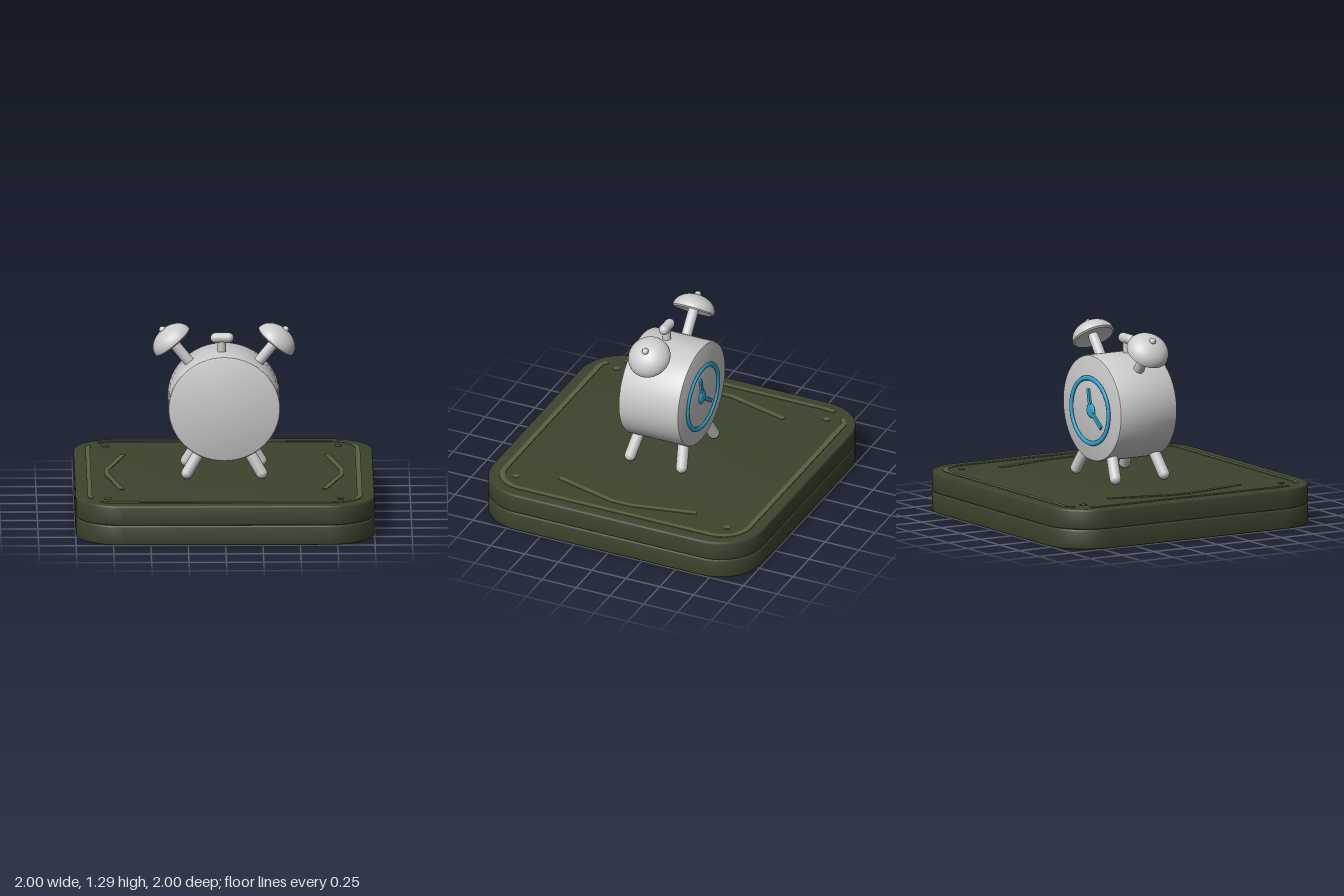
import * as THREE from 'three';
import { toCreasedNormals } from 'three/addons/utils/BufferGeometryUtils.js';

const paint = (color) => new THREE.MeshStandardMaterial({ color });
const grey = paint(0xcccccc);
const olive = paint(0x3c442d);
const moss = paint(0x56623f);
const blue = paint(0x33a6d2);
const V3 = (x, y, z) => new THREE.Vector3(x, y, z);
const UP = V3(0, 1, 0);

function add(parent, name, geometry, material, x = 0, y = 0, z = 0) {
  const mesh = new THREE.Mesh(geometry, material);
  mesh.name = name;
  mesh.position.set(x, y, z);
  parent.add(mesh);
  return mesh;
}

// Lathe from [radius, height] pairs, creases kept sharp
function lathe(profile, segments = 40) {
  const pts = profile.map(([r, h]) => new THREE.Vector2(r, h));
  return toCreasedNormals(new THREE.LatheGeometry(pts, segments), 0.7);
}

// Round-ended rod between two points
function rod(parent, name, a, b, radius) {
  const length = a.distanceTo(b);
  const mesh = add(parent, name, new THREE.CapsuleGeometry(radius, length, 5, 18), grey);
  mesh.position.copy(a).add(b).multiplyScalar(0.5);
  mesh.quaternion.setFromUnitVectors(UP, b.clone().sub(a).normalize());
  return mesh;
}

// Rounded square centred on the origin
function roundedSquare(half, r) {
  const s = new THREE.Shape();
  const c = half - r;
  s.absarc(c, c, r, 0, Math.PI / 2);
  s.absarc(-c, c, r, Math.PI / 2, Math.PI);
  s.absarc(-c, -c, r, Math.PI, Math.PI * 1.5);
  s.absarc(c, -c, r, Math.PI * 1.5, Math.PI * 2);
  s.closePath();
  return s;
}

// Flat raised strip following [x, z] points
function strip(parent, name, points, width) {
  const pts = points.map(([x, z]) => new THREE.Vector2(x, -z));
  const left = [], right = [];
  pts.forEach((p, i) => {
    const before = pts[Math.max(i - 1, 0)], after = pts[Math.min(i + 1, pts.length - 1)];
    const t = after.clone().sub(before).normalize();
    const n = new THREE.Vector2(-t.y, t.x).multiplyScalar(width / 2);
    left.push(p.clone().add(n));
    right.unshift(p.clone().sub(n));
  });
  const geometry = new THREE.ExtrudeGeometry(new THREE.Shape([...left, ...right]), { depth: 0.01, bevelEnabled: false });
  geometry.rotateX(-Math.PI / 2);
  add(parent, name, geometry, moss, 0, 0.265, 0);
}

// Points on a quarter bend in [x, z]
function bend(cx, cz, r, from) {
  return [0, 1, 2, 3, 4, 5, 6].map((i) => {
    const a = from + (i / 6) * Math.PI / 2;
    return [cx + r * Math.cos(a), cz + r * Math.sin(a)];
  });
}

function makePlatform() {
  const platform = new THREE.Group();
  platform.name = 'platform';

  // Two stacked slabs, leaving a fine seam halfway up
  const bevel = 0.012;
  for (const [name, y] of [['lowerSlab', 0], ['upperSlab', 0.135]]) {
    let slab = new THREE.ExtrudeGeometry(roundedSquare(1 - bevel, 0.3), {
      depth: 0.135 - 2 * bevel, bevelThickness: bevel, bevelSize: bevel, bevelSegments: 3, curveSegments: 6,
    });
    slab.rotateX(-Math.PI / 2);
    slab = toCreasedNormals(slab, 0.7);
    add(platform, name, slab, olive, 0, y + bevel, 0);
  }

  // Border lines
  strip(platform, 'borderLine', [
    [-0.83, -0.87], [-0.78, -0.905],
    ...bend(0.71, -0.715, 0.19, -Math.PI / 2),
    ...bend(0.71, 0.71, 0.19, 0),
    [-0.78, 0.9], [-0.83, 0.87],
  ], 0.035);
  strip(platform, 'sideBorderLine', [[-0.895, -0.78], [-0.905, -0.7], [-0.905, 0.7], [-0.895, 0.77]], 0.03);

  // Angled accent lines
  strip(platform, 'rightAccent', [[-0.67, -0.51], [-0.785, -0.07], [-0.785, 0.06], [-0.69, 0.515]], 0.035);
  strip(platform, 'leftAccent', [[0.69, -0.51], [0.785, -0.07], [0.785, 0.08], [0.665, 0.515]], 0.035);

  // Corner studs
  for (const [x, z] of [[-0.785, -0.77], [0.77, -0.77], [-0.785, 0.78], [0.77, 0.79]])
    add(platform, 'stud', new THREE.CylinderGeometry(0.024, 0.024, 0.01, 16), moss, x, 0.27, z);
  return platform;
}

function makeBell(side) {
  const bell = new THREE.Group();
  bell.name = side > 0 ? 'leftBell' : 'rightBell';
  const axis = V3(side * 0.63, 0.777, 0).normalize();
  const centre = V3(side * 0.342, 1.165, 0.003);
  rod(bell, 'bellStem', centre.clone().addScaledVector(axis, -0.2), centre, 0.036);

  // Dome with a shallow hollow underside, and a small knob
  const profile = [[0, 0.02], [0.1, 0.01], [0.135, -0.006], [0.146, 0.004]];
  for (let i = 1; i <= 10; i++) {
    const a = (i / 10) * Math.PI / 2;
    profile.push([i === 10 ? 0 : 0.146 * Math.cos(a), 0.004 + 0.106 * Math.sin(a)]);
  }
  const cap = new THREE.Group();
  cap.name = 'bellCap';
  cap.position.copy(centre);
  cap.quaternion.setFromUnitVectors(UP, axis);
  add(cap, 'dome', lathe(profile), grey);
  add(cap, 'knob', new THREE.SphereGeometry(0.023, 16, 10), grey, 0, 0.11, 0);
  bell.add(cap);
  return bell;
}

function makeDial() {
  const dial = new THREE.Group();
  dial.name = 'dial';
  dial.position.set(0.005, 0.737, -0.226);

  // Flattened ring and domed hub
  const ring = add(dial, 'dialRing', new THREE.TorusGeometry(0.225, 0.017, 10, 56), blue, 0, 0, -0.007);
  ring.scale.set(1.06, 0.98, 0.6);
  const hub = add(dial, 'hub', new THREE.SphereGeometry(0.05, 24, 12), blue);
  hub.scale.z = 0.28;

  // Hands run from the hub to their tips
  for (const [name, x, y] of [['longHand', 0.03, 0.145], ['shortHand', -0.135, -0.1]]) {
    const hand = add(dial, name, new THREE.BoxGeometry(0.028, Math.hypot(x, y), 0.014), blue, x / 2, y / 2, -0.002);
    hand.rotation.z = Math.atan2(-x, y);
  }
  return dial;
}

export function createModel() {
  const model = new THREE.Group();
  model.name = 'alarmClockOnPlatform';
  model.add(makePlatform());

  const clock = new THREE.Group();
  clock.name = 'alarmClock';
  model.add(clock);

  // Drum with softened rims
  const drum = lathe([
    [0, -0.222], [0.36, -0.222], [0.37, -0.218], [0.375, -0.208],
    [0.375, 0.208], [0.37, 0.218], [0.36, 0.222], [0, 0.222],
  ], 64);
  drum.rotateX(Math.PI / 2);
  add(clock, 'body', drum, grey, 0, 0.753, 0).scale.y = 0.957;

  clock.add(makeDial());

  // Bells and splayed legs on both sides
  for (const side of [1, -1]) {
    clock.add(makeBell(side));
    for (const end of [1, -1])
      rod(clock, 'leg', V3(side * 0.165, 0.45, end * 0.165), V3(side * 0.25, 0.308, end * 0.19), 0.039);
  }

  // Button on top
  add(clock, 'buttonStem', new THREE.CylinderGeometry(0.028, 0.028, 0.12, 20), grey, -0.015, 1.14, 0.045);
  rod(clock, 'button', V3(-0.057, 1.203, 0.045), V3(0.03, 1.203, 0.045), 0.035);
  return model;
}
